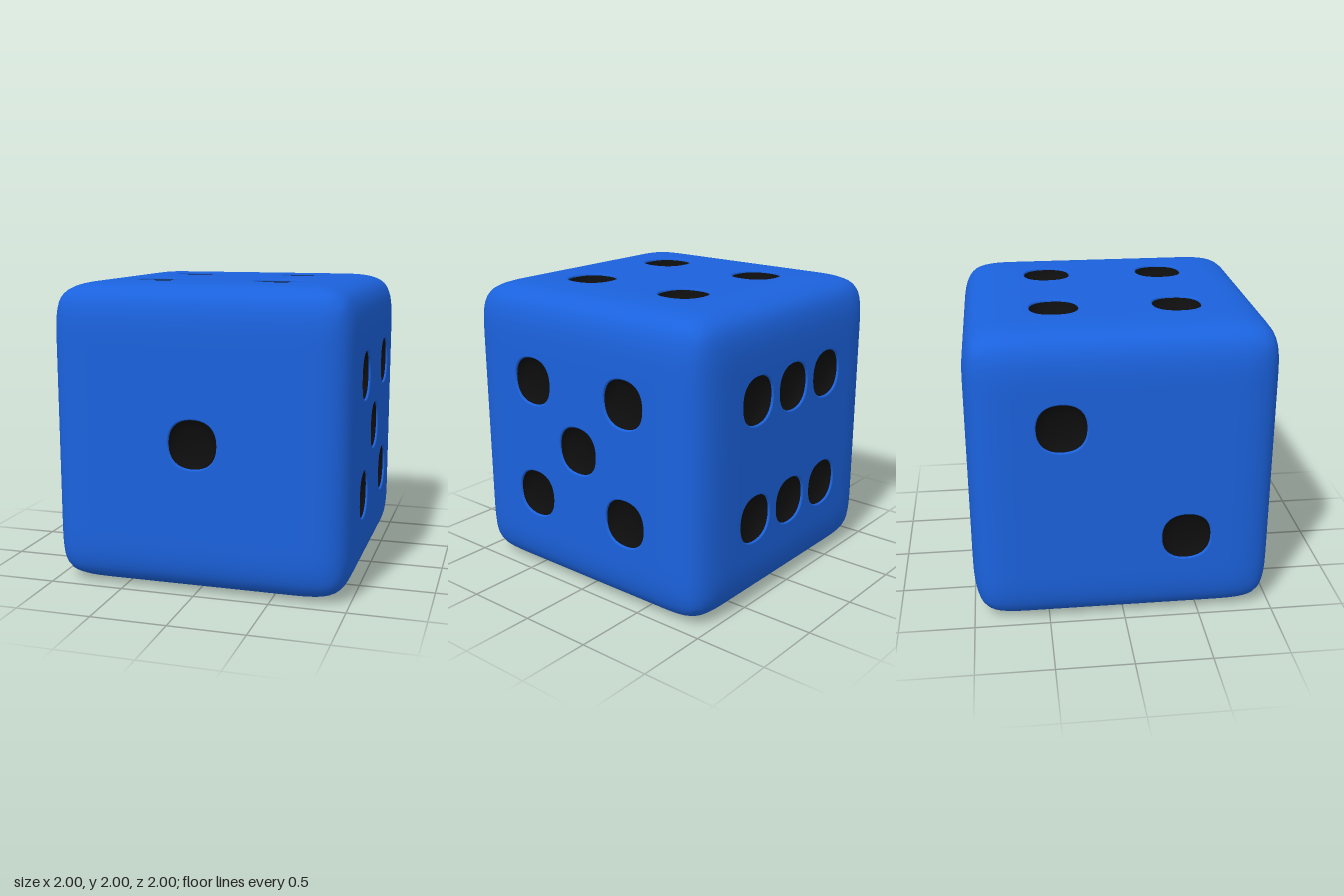
import * as THREE from 'three';
import { mergeVertices } from 'three/addons/utils/BufferGeometryUtils.js';

const FLAT = 0.6;          // half width of the flat panel on each face
const D = 1 - FLAT;        // width of the rounded border
const RIM = 0.172, PIP = 0.163;

const blue = new THREE.MeshStandardMaterial({ color: 0x1b62dd });
const black = new THREE.MeshStandardMaterial({ color: 0x0d0d0d });

// slightly squared circle
const squarish = (x, y) => 1 - 0.025 * Math.cos(4 * Math.atan2(y, x));

// rounded edges and corners: a fine cube without its face panels, eased inwards
function shellGeometry() {
  const box = new THREE.BoxGeometry(2, 2, 2, 40, 40, 40).toNonIndexed();
  const src = box.attributes.position;
  const out = [];
  const ease = (v) => Math.max(0, (Math.abs(v) - FLAT) / D) ** 3;
  for (let i = 0; i < src.count; i += 3) {
    const tri = [0, 1, 2].map((k) => new THREE.Vector3().fromBufferAttribute(src, i + k));
    const mid = tri[0].clone().add(tri[1]).add(tri[2]).divideScalar(3).toArray();
    if (mid.filter((v) => Math.abs(v) < FLAT).length === 2) continue;
    for (const p of tri) {
      const a = p.toArray(), c = a.map(ease);
      a.forEach((v, k) => {
        const m = c[(k + 1) % 3], n = c[(k + 2) % 3];
        out.push(v - Math.sign(v) * (D / 6) * c[k] * (m + n - 0.5 * m * n));
      });
    }
  }
  let g = new THREE.BufferGeometry();
  g.setAttribute('position', new THREE.Float32BufferAttribute(out, 3));
  g = mergeVertices(g, 1e-4);
  g.computeVertexNormals();
  return g;
}

// flat panel with a hole for each pip
function panelGeometry(pips) {
  const s = new THREE.Shape();
  s.moveTo(-FLAT, -FLAT).lineTo(FLAT, -FLAT).lineTo(FLAT, FLAT).lineTo(-FLAT, FLAT).closePath();
  for (const [px, py] of pips) {
    const pts = [];
    for (let i = 0; i < 48; i++) {
      const t = -i / 48 * Math.PI * 2, x = Math.cos(t), y = Math.sin(t);
      const r = RIM * squarish(x, y);
      pts.push(new THREE.Vector2(px + x * r, py + y * r));
    }
    s.holes.push(new THREE.Path(pts));
  }
  return new THREE.ShapeGeometry(s);
}

// turned profile, from the outside in, opening towards +z
function dishGeometry(profile) {
  const g = new THREE.LatheGeometry(profile.map(([r, y]) => new THREE.Vector2(r, y)), 48);
  g.rotateX(Math.PI / 2);
  const p = g.attributes.position;
  for (let i = 0; i < p.count; i++) {
    const x = p.getX(i), y = p.getY(i), k = squarish(x, y);
    p.setXY(i, x * k, y * k);
  }
  return g;
}

export function createModel() {
  const model = new THREE.Group();
  model.name = 'die';
  const add = (parent, name, geometry, material) => {
    const m = new THREE.Mesh(geometry, material);
    m.name = name;
    parent.add(m);
    return m;
  };

  const shell = add(model, 'roundedEdges', shellGeometry(), blue);
  shell.position.y = 1;

  const lip = dishGeometry([[RIM, 0], [0.167, -0.002], [0.164, -0.007], [PIP, -0.014]]);
  const bowl = dishGeometry([[PIP, -0.014], [0.155, -0.035], [0.135, -0.056],
    [0.1, -0.072], [0.05, -0.081], [0, -0.084]]);

  // pip layouts
  const a = 0.4, H = Math.PI / 2;
  const corners = [[-a, -a], [a, -a], [a, a], [-a, a]];
  const faces = [
    ['frontFace', 0, 0, [[0, 0]]],
    ['leftFace', 0, H, [...corners, [0, 0]]],
    ['backFace', 0, Math.PI, [...corners, [0, -a], [0, a]]],
    ['rightFace', 0, -H, [[-a, a], [a, -a]]],
    ['topFace', -H, 0, corners],
    ['bottomFace', H, 0, [[-a, -a], [0, 0], [a, a]]],
  ];
  for (const [name, rx, ry, pips] of faces) {
    const face = new THREE.Group();
    face.name = name;
    face.position.y = 1;
    face.rotation.set(rx, ry, 0);
    add(face, 'panel', panelGeometry(pips), blue).position.z = 1;
    for (const [x, y] of pips) {
      add(face, 'pipLip', lip, blue).position.set(x, y, 1);
      add(face, 'pip', bowl, black).position.set(x, y, 1);
    }
    model.add(face);
  }
  return model;
}
